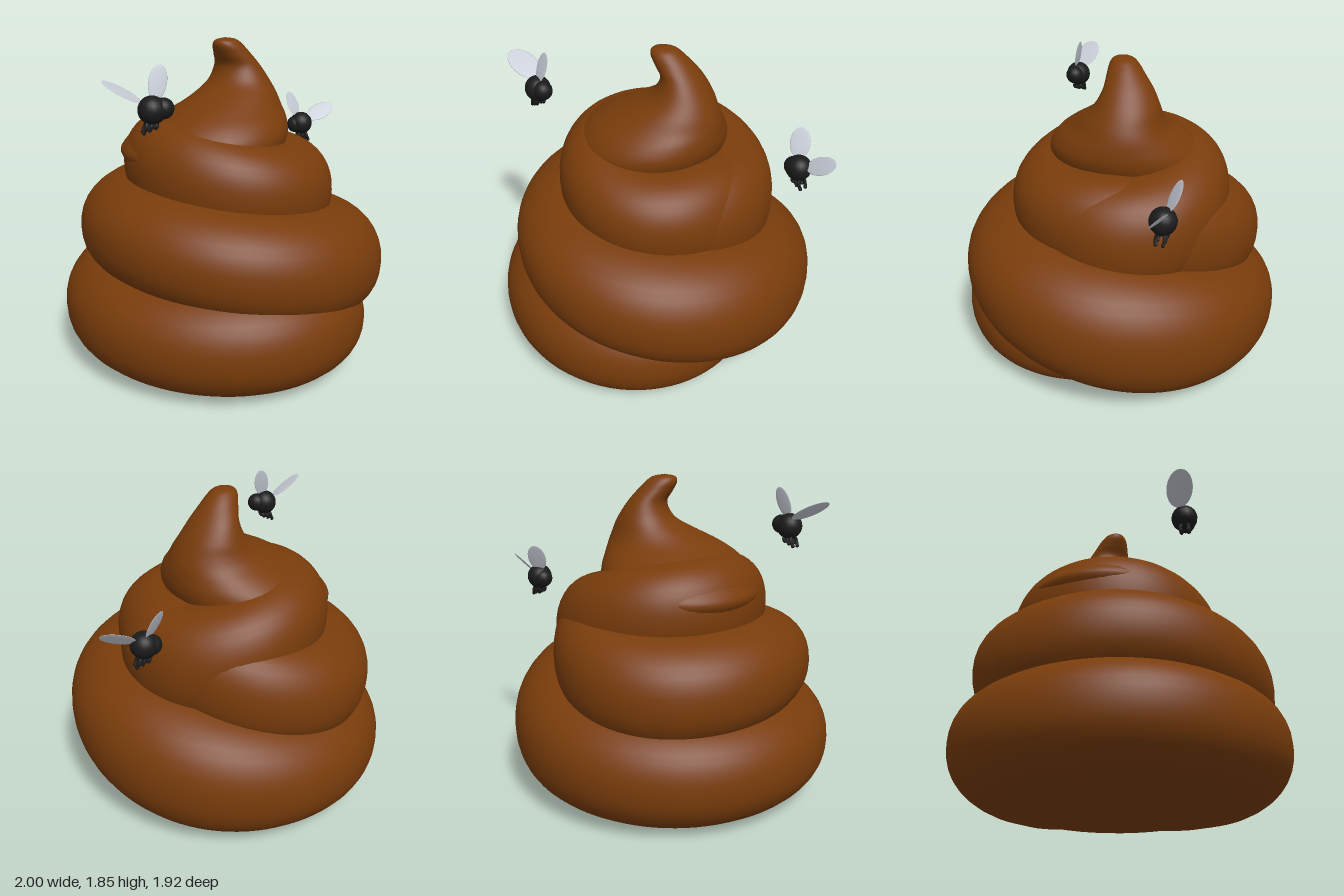
import * as THREE from 'three';

const brown = new THREE.MeshStandardMaterial({ color: 0x793c0b });
brown.name = 'brown';
const black = new THREE.MeshStandardMaterial({ color: 0x1b1b1c });
black.name = 'black';
const wingGrey = new THREE.MeshStandardMaterial({ color: 0xc8ccd6 });
wingGrey.name = 'wingGrey';

const V = (x, y, z) => new THREE.Vector3(x, y, z);

function add(parent, name, geometry, material) {
  const mesh = new THREE.Mesh(geometry, material);
  mesh.name = name;
  parent.add(mesh);
  return mesh;
}

// Skin of closed rings: point(i / rows, angle) gives each corner
function loft(point, rows, sides) {
  const pos = [], index = [];
  for (let i = 0; i <= rows; i++) {
    for (let j = 0; j < sides; j++) {
      pos.push(...point(i / rows, (j / sides) * Math.PI * 2).toArray());
      if (i === rows) continue;
      const k = (j + 1) % sides;
      const a = i * sides + j, b = i * sides + k;
      index.push(a, b, a + sides, b, b + sides, a + sides);
    }
  }
  const g = new THREE.BufferGeometry();
  g.setAttribute('position', new THREE.Float32BufferAttribute(pos, 3));
  g.setIndex(index);
  g.computeVertexNormals();
  return g;
}

// Rounded power, for slightly squared cross-sections
const soft = (v) => Math.sign(v) * Math.pow(Math.abs(v), 0.9);

// Spiral keys, one each quarter turn: outer radius, centre height, half height
const coilKeys = [
  [0.52, 0.15, 0.08], [0.95, 0.29, 0.30], [1.00, 0.31, 0.31], [0.955, 0.32, 0.33],
  [0.92, 0.43, 0.40], [0.96, 0.62, 0.34], [0.87, 0.77, 0.30], [0.86, 0.75, 0.33],
  [0.61, 0.93, 0.33], [0.66, 1.01, 0.28], [0.60, 1.12, 0.30], [0.62, 1.11, 0.29],
  [0.655, 0.93, 0.34], [0.59, 0.98, 0.26],
].map((k) => V(...k));

function coilGeometry() {
  const curve = new THREE.CatmullRomCurve3(coilKeys, false, 'catmullrom', 0.5);
  const turn = (coilKeys.length - 1) * Math.PI / 2;
  return loft((t, s) => {
    const { x: outer, y: mid, z: half } = curve.getPoint(t);
    const wide = Math.min(outer * 0.46, half * 1.25);
    const r = outer - wide + wide * soft(Math.cos(s));
    const x = r * Math.cos(t * turn), z = r * Math.sin(t * turn);
    const floor = 0.012 + 0.012 * x;
    return V(x, Math.max(floor, mid + half * soft(Math.sin(s))), z);
  }, 300, 40);
}

// Tip rings: height, x min, x max, z max, z min
const tipKeys = [
  [1.10, -0.50, 0.25, 0.30, -0.50], [1.20, -0.57, 0.315, 0.38, -0.575],
  [1.27, -0.55, 0.35, 0.41, -0.55], [1.34, -0.50, 0.36, 0.41, -0.48],
  [1.41, -0.42, 0.352, 0.37, -0.37], [1.47, -0.32, 0.34, 0.31, -0.27],
  [1.53, -0.19, 0.318, 0.26, -0.215], [1.60, -0.06, 0.285, 0.20, -0.18],
  [1.69, -0.01, 0.225, 0.145, -0.145], [1.76, -0.045, 0.165, 0.11, -0.11],
  [1.81, -0.07, 0.115, 0.085, -0.085], [1.842, -0.06, 0.07, 0.055, -0.055],
  [1.855, 0, 0, 0, 0],
];

function tipGeometry() {
  const spans = [1, 3].map((n) => new THREE.CatmullRomCurve3(
    tipKeys.map((k) => V(k[0], k[n], k[n + 1])), false, 'catmullrom', 0.5));
  return loft((t, s) => {
    const a = spans[0].getPoint(t), b = spans[1].getPoint(t);
    return V(
      (a.y + a.z) / 2 + (a.z - a.y) / 2 * Math.cos(s),
      a.x,
      (b.y + b.z) / 2 - (b.y - b.z) / 2 * Math.sin(s));
  }, 60, 44);
}

// Thin oval wing from root to tip, its flat face turned to the given normal
function wing(parent, [root, tip, normal, width]) {
  const y = V(...tip).sub(V(...root));
  const length = y.length();
  y.normalize();
  const x = y.clone().cross(V(...normal)).normalize();
  const z = x.clone().cross(y);
  const mesh = add(parent, 'wing', new THREE.SphereGeometry(1, 20, 14), wingGrey);
  mesh.quaternion.setFromRotationMatrix(new THREE.Matrix4().makeBasis(x, y, z));
  mesh.scale.set(width / 2, length / 2, 0.004);
  mesh.position.addVectors(V(...root), V(...tip)).multiplyScalar(0.5);
}

// Fly: everything is placed relative to the body centre
function fly(name, centre, head, wings) {
  const g = new THREE.Group();
  g.name = name;
  g.position.set(...centre);
  add(g, 'body', new THREE.SphereGeometry(0.074, 20, 14), black);
  const headMesh = add(g, 'head', new THREE.SphereGeometry(0.055, 18, 12), black);
  headMesh.position.set(...head);
  const forward = V(head[0], 0, head[2]).normalize();
  const side = V(-forward.z, 0, forward.x);
  // Six short dangling legs
  for (const s of [-1, 1]) {
    for (const f of [-1, 0, 1]) {
      const at = (across, along, y) => side.clone().multiplyScalar(s * across)
        .addScaledVector(forward, along).setY(y);
      const path = new THREE.CatmullRomCurve3([
        at(0.012, f * 0.022 - 0.005, -0.05), at(0.024, f * 0.026 - 0.008, -0.08),
        at(0.02, f * 0.03 - 0.018, -0.1 + f * 0.012)]);
      add(g, 'leg', new THREE.TubeGeometry(path, 6, 0.01, 8), black);
      const foot = add(g, 'foot', new THREE.SphereGeometry(0.011, 8, 6), black);
      foot.position.copy(path.getPoint(1));
    }
  }
  wings.forEach((w) => wing(g, w));
  return g;
}

export function createModel() {
  const model = new THREE.Group();
  model.name = 'swirlWithFlies';

  const swirl = new THREE.Group();
  swirl.name = 'swirl';
  add(swirl, 'coil', coilGeometry(), brown);
  add(swirl, 'tip', tipGeometry(), brown);
  // Solid core closing the underside
  const profile = [[0, 0.014], [0.58, 0.014], [0.66, 0.06], [0.7, 0.16], [0.5, 0.7], [0.3, 1.1], [0, 1.25]];
  const core = add(swirl, 'core',
    new THREE.LatheGeometry(profile.map((p) => new THREE.Vector2(...p)), 40), brown);
  core.position.x = -0.03;
  model.add(swirl);

  model.add(fly('rightFly', [-0.715, 1.56, 0.12], [0.048, 0.006, 0.034], [
    [[-0.02, 0.045, -0.06], [-0.215, 0.152, -0.122], [0.3, 0.85, 0.45], 0.15],
    [[0.01, 0.05, 0.01], [0.07, 0.222, 0.0], [-0.6, 0, 0.8], 0.095],
  ]));
  model.add(fly('leftFly', [0.795, 1.22, 0], [-0.032, -0.006, -0.024], [
    [[-0.01, 0.045, -0.025], [-0.015, 0.205, -0.1], [0, 0.42, 0.9], 0.115],
    [[0.045, 0.03, 0.02], [0.205, 0.108, 0.11], [-0.6, 0.7, 0.5], 0.115],
  ]));
  return model;
}
